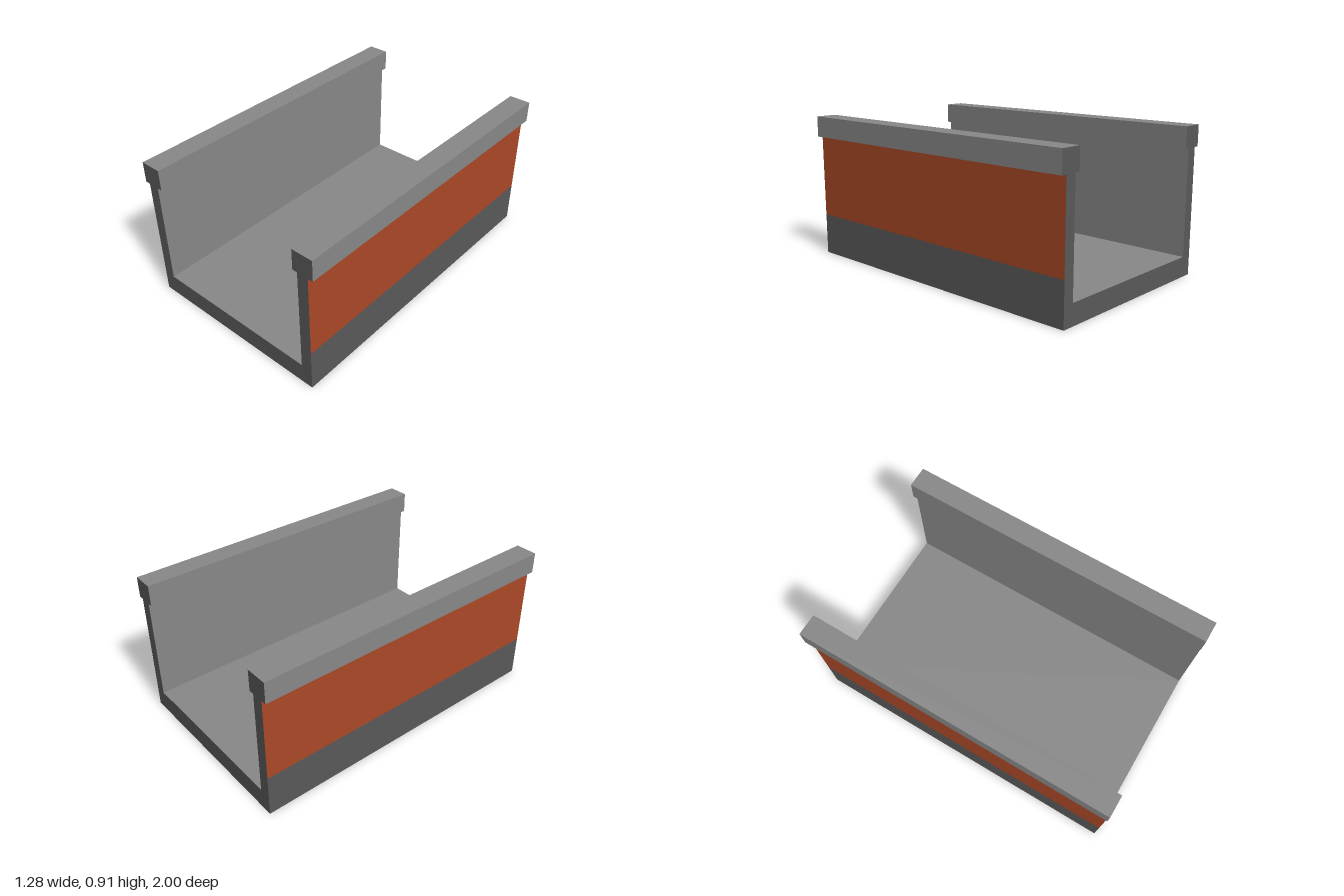
import * as THREE from 'three';

const HALF = 1; // half the channel length

const darkGrey = new THREE.MeshStandardMaterial({ name: 'darkGrey', color: 0x595959 });
const lightGrey = new THREE.MeshStandardMaterial({ name: 'lightGrey', color: 0x888888 });
const rustOrange = new THREE.MeshStandardMaterial({ name: 'rustOrange', color: 0xaa4827 });

// Right half of the cross-section, anticlockwise, split into coloured runs
const runs = [
  { name: 'underside', material: darkGrey, points: [[0, 0], [0.607, 0]] },
  { name: 'lowerBand', material: darkGrey, points: [[0.607, 0], [0.607, 0.26]] },
  { name: 'sidePanel', material: rustOrange, points: [[0.607, 0.26], [0.607, 0.78]] },
  { name: 'topRail', material: lightGrey,
    points: [[0.607, 0.78], [0.64, 0.78], [0.64, 0.91], [0.505, 0.91], [0.505, 0.78], [0.536, 0.78]] },
  { name: 'innerWall', material: lightGrey, points: [[0.536, 0.78], [0.536, 0.125]] },
  { name: 'floor', material: lightGrey, points: [[0.536, 0.125], [0, 0.125]] },
];

const mirror = (points) => points.map(([x, y]) => [-x, y]).reverse();

// Sweeps an open line along z, with one flat face per segment
function strip(points) {
  const pos = [];
  for (let i = 0; i < points.length - 1; i++) {
    const [ax, ay] = points[i], [bx, by] = points[i + 1];
    pos.push(ax, ay, HALF, ax, ay, -HALF, bx, by, -HALF);
    pos.push(ax, ay, HALF, bx, by, -HALF, bx, by, HALF);
  }
  const geometry = new THREE.BufferGeometry();
  geometry.setAttribute('position', new THREE.Float32BufferAttribute(pos, 3));
  geometry.computeVertexNormals();
  return geometry;
}

export function createModel() {
  const model = new THREE.Group();
  model.name = 'channel';

  const add = (name, geometry, material) => {
    const mesh = new THREE.Mesh(geometry, material);
    mesh.name = name;
    model.add(mesh);
    return mesh;
  };

  // Long surfaces; those meeting at the centre line are built in one piece
  for (const { name, material, points } of runs) {
    if (name === 'underside') {
      add(name, strip([mirror(points)[0], points[1]]), material);
    } else if (name === 'floor') {
      add(name, strip([points[0], mirror(points)[1]]), material);
    } else {
      add(name + 'Left', strip(points), material);
      add(name + 'Right', strip(mirror(points)), material);
    }
  }

  // Flat end faces closing the channel
  const half = runs.flatMap((run) => run.points.slice(1)).slice(0, -1);
  const outline = [...half, ...mirror(half)].map(([x, y]) => new THREE.Vector2(x, y));
  const endGeometry = new THREE.ShapeGeometry(new THREE.Shape(outline));
  add('frontEnd', endGeometry, darkGrey).position.z = HALF;
  const back = add('backEnd', endGeometry, darkGrey);
  back.position.z = -HALF;
  back.rotation.y = Math.PI;

  return model;
}
